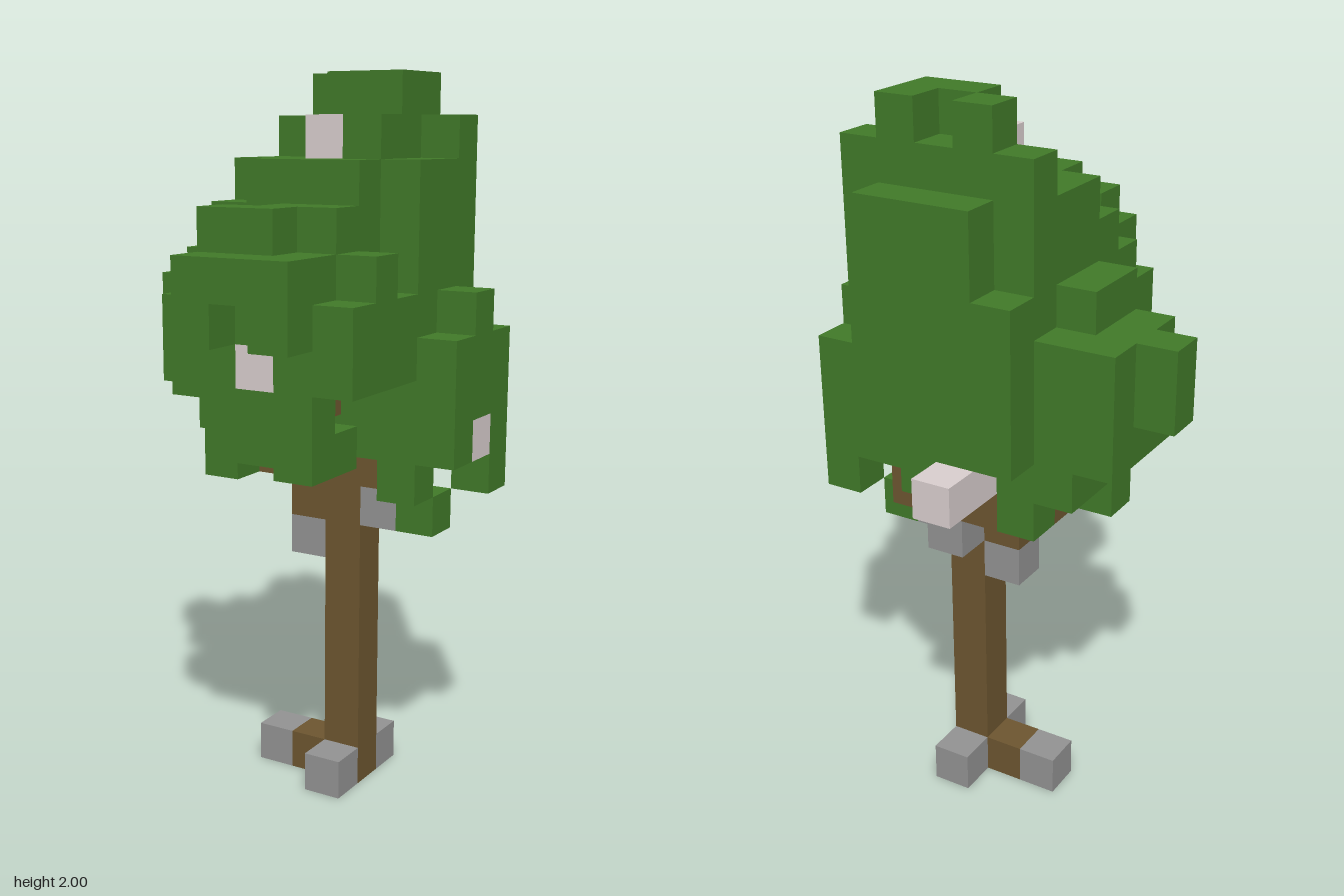
import * as THREE from 'three';
import { mergeGeometries } from 'three/addons/utils/BufferGeometryUtils.js';

const U = 1 / 9; // edge of one cube; the model fills a 9 x 18 x 9 lattice

const flat = (name, color) => {
  const m = new THREE.MeshStandardMaterial({ color });
  m.name = name;
  return m;
};

export function createModel() {
  const leafGreen = flat('leaf green', 0x417a29);
  const barkBrown = flat('bark brown', 0x6d5630);
  const stoneGrey = flat('stone grey', 0x939393);
  const blossomPink = flat('blossom pink', 0xdacfcf);

  const taken = new Set();
  const parts = [];
  const key = (x, y, z) => `${x},${y},${z}`;

  // Starts a part and returns a function that fills blocks of free lattice cubes
  // (first cube, then width, height and depth).
  const part = (name, material) => {
    const cubes = [];
    parts.push({ name, material, cubes });
    return (x, y, z, w = 1, h = 1, d = 1) => {
      for (let i = x; i < x + w; i++)
        for (let j = y; j < y + h; j++)
          for (let k = z; k < z + d; k++) {
            if (taken.has(key(i, j, k))) continue;
            taken.add(key(i, j, k));
            cubes.push(new THREE.Vector3(i, j, k));
          }
    };
  };

  const blossom = part('blossoms', blossomPink);
  blossom(5, 16, 4);
  blossom(5, 11, 7);
  blossom(8, 9, 3);
  blossom(4, 9, 0, 1, 1, 2);

  const baseStone = part('baseStones', stoneGrey);
  baseStone(3, 0, 3);
  baseStone(5, 0, 4);
  baseStone(5, 0, 2);

  const branchStone = part('branchStones', stoneGrey);
  branchStone(4, 6, 3);
  branchStone(5, 7, 2);
  branchStone(6, 7, 3);

  const trunk = part('trunk', barkBrown);
  trunk(5, 0, 3, 1, 11);
  trunk(4, 0, 3);

  const branch = part('branches', barkBrown);
  branch(4, 7, 3);
  branch(3, 8, 3, 4);
  branch(4, 8, 2, 3);
  branch(5, 10, 4, 1, 1, 2);

  const crownTop = part('crownTop', leafGreen);
  crownTop(4, 17, 2);
  crownTop(6, 17, 2);
  crownTop(5, 16, 3, 2, 2);
  crownTop(3, 16, 2, 5);
  crownTop(6, 16, 4);

  // Core, then wider rings around it
  const crownMiddle = part('crownMiddle', leafGreen);
  crownMiddle(3, 9, 2, 5, 7, 3);
  crownMiddle(2, 9, 2, 7, 3, 3);
  crownMiddle(1, 10, 2, 7, 3, 3);
  crownMiddle(2, 13, 3, 1, 1, 2);
  crownMiddle(0, 11, 3, 9, 2);

  const crownBack = part('crownBack', leafGreen);
  crownBack(4, 9, 1, 2, 7);
  crownBack(6, 11, 1, 1, 5);
  crownBack(3, 10, 1, 1, 4);

  // Steps down towards the front
  const crownFront = part('crownFront', leafGreen);
  crownFront(3, 11, 5, 4, 2, 3);
  crownFront(3, 13, 5, 4, 1, 2);
  crownFront(7, 11, 5, 1, 2, 3);
  crownFront(7, 13, 6);
  crownFront(3, 14, 5);
  crownFront(4, 14, 5, 3, 2);
  crownFront(5, 14, 6, 2);
  crownFront(4, 14, 7, 2);
  crownFront(4, 13, 7, 3, 1, 2);
  for (const x of [4, 6]) crownFront(x, 12, 8);
  crownFront(4, 9, 6, 2, 2);
  crownFront(4, 10, 7, 3);
  crownFront(6, 9, 6, 1, 1, 2);

  const crownBottom = part('crownBottom', leafGreen);
  crownBottom(2, 8, 4);
  crownBottom(3, 8, 2);
  crownBottom(7, 8, 4);
  crownBottom(8, 8, 2);
  crownBottom(7, 7, 3);

  // One plane per cube face, turned to each of the six directions
  const half = Math.PI / 2;
  const sides = [];
  for (let i = 0; i < 4; i++) sides.push(new THREE.PlaneGeometry(U, U).translate(0, 0, U / 2).rotateY(i * half));
  for (const s of [-1, 1]) sides.push(new THREE.PlaneGeometry(U, U).translate(0, 0, U / 2).rotateX(s * half));

  // One mesh per part, made of the exposed cube faces only
  const group = new THREE.Group();
  group.name = 'blockTree';
  for (const { name, material, cubes } of parts) {
    const faces = [];
    for (const c of cubes)
      for (const side of sides) {
        const next = new THREE.Vector3().fromBufferAttribute(side.attributes.normal, 0).add(c).round();
        if (taken.has(key(next.x, next.y, next.z))) continue;
        faces.push(side.clone().translate((c.x - 4) * U, (c.y + 0.5) * U, (c.z - 4) * U));
      }
    const mesh = new THREE.Mesh(mergeGeometries(faces), material);
    mesh.name = name;
    group.add(mesh);
  }
  return group;
}
